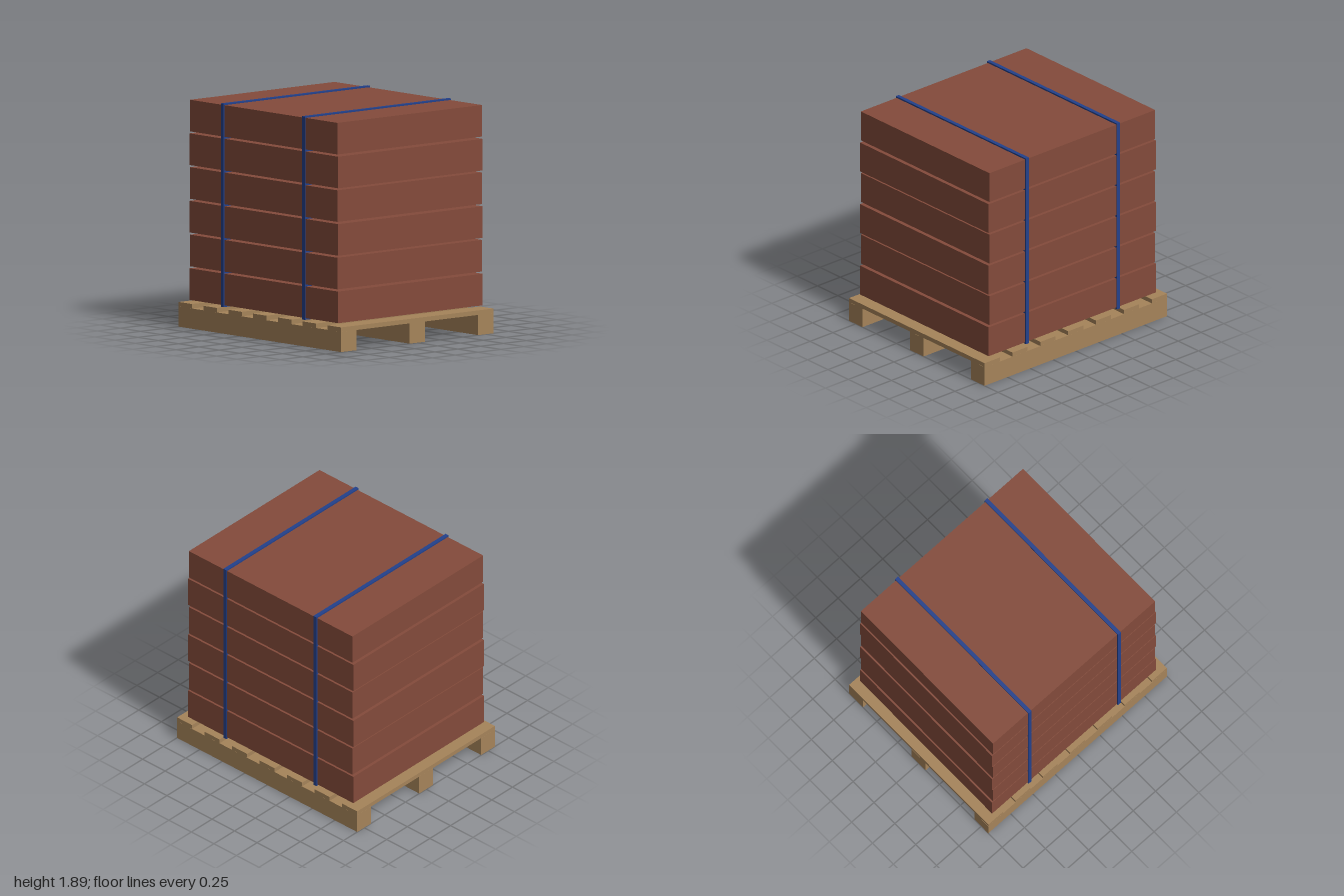
import * as THREE from 'three';

function material(name, color) {
  const m = new THREE.MeshStandardMaterial({ color });
  m.name = name;
  return m;
}

export function createModel() {
  const group = new THREE.Group();
  group.name = 'strappedPallet';
  const wood = material('pallet wood', 0xa6845a);
  const clay = material('brick red', 0x844b3b);
  const blue = material('strap blue', 0x23418c);

  // Box placed by its bottom height
  function box(name, mat, w, h, d, x, bottom, z) {
    const mesh = new THREE.Mesh(new THREE.BoxGeometry(w, h, d), mat);
    mesh.name = name;
    mesh.position.set(x, bottom + h / 2, z);
    group.add(mesh);
  }

  // Three runners along x
  for (const z of [-0.75, 0, 0.75]) box('runner', wood, 2, 0.167, 0.167, 0, 0, z);

  // Seven deck boards across the runners
  for (let i = 0; i < 7; i++) {
    box('deckBoard', wood, 0.166, 0.037, 1.666, -0.916 + i * (1.832 / 6), 0.167, 0);
  }

  // Six stacked layers, alternately slightly wider and narrower
  for (let i = 0; i < 6; i++) {
    box('brickLayer', clay, i % 2 ? 1.815 : 1.833, 0.261, 1.58, 0, 0.226 + i * 0.2785, 0);
  }

  // Two straps as slabs through the stack, showing at the gaps and standing just proud of it
  for (const x of [-0.5, 0.5]) box('strap', blue, 0.033, 1.68, 1.6, x, 0.212, 0);

  return group;
}
